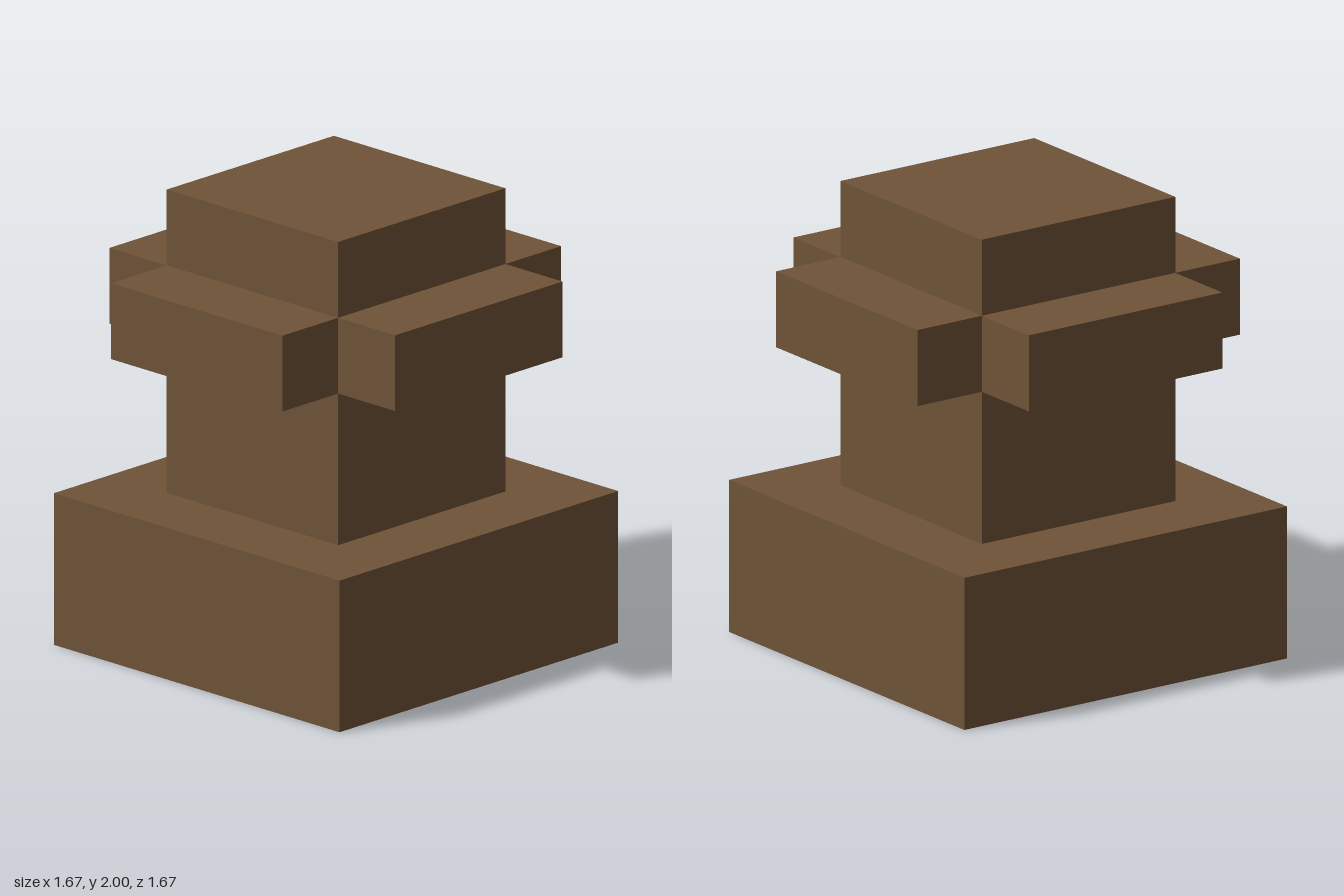
import * as THREE from 'three';

const U = 1 / 6; // modelling unit: the whole piece is 12 units tall

function square(PathType, size) {
  const h = size / 2;
  return new PathType([[-h, -h], [h, -h], [h, h], [-h, h]].map(([x, y]) => new THREE.Vector2(x, y)));
}

// Square block standing on y = 0, pierced by a square vertical opening
function squareRing(outer, inner, height) {
  const shape = square(THREE.Shape, outer);
  shape.holes.push(square(THREE.Path, inner));
  return new THREE.ExtrudeGeometry(shape, { depth: height, bevelEnabled: false }).rotateX(-Math.PI / 2);
}

export function createModel() {
  const group = new THREE.Group();
  const brown = new THREE.MeshStandardMaterial({ name: 'brown', color: 0x6f5337 });
  const grey = new THREE.MeshStandardMaterial({ name: 'grey', color: 0x5e5e5e });

  const add = (name, geometry, material, x = 0, y = 0, z = 0) => {
    const mesh = new THREE.Mesh(geometry, material);
    mesh.name = name;
    mesh.position.set(x, y, z);
    group.add(mesh);
    return mesh;
  };

  // Wide base with the grey socket core set flush into its underside
  add('base', squareRing(10 * U, 6 * U, 4 * U), brown);
  add('socketCore', squareRing(6 * U, 2 * U, 4 * U), grey);
  add('socketCeiling', new THREE.BoxGeometry(2 * U, 0.008, 2 * U), grey, 0, 4 * U - 0.004, 0);

  // Square column
  add('column', new THREE.BoxGeometry(6 * U, 8 * U, 6 * U), brown, 0, 8 * U, 0);

  // One ledge on each side of the column
  ['front', 'left', 'back', 'right'].forEach((side, i) => {
    const a = i * Math.PI / 2;
    const ledge = add(side + 'Ledge', new THREE.BoxGeometry(6 * U, 2 * U, 2 * U), brown,
      Math.sin(a) * 4 * U, 9 * U, Math.cos(a) * 4 * U);
    ledge.rotation.y = a;
  });

  return group;
}
